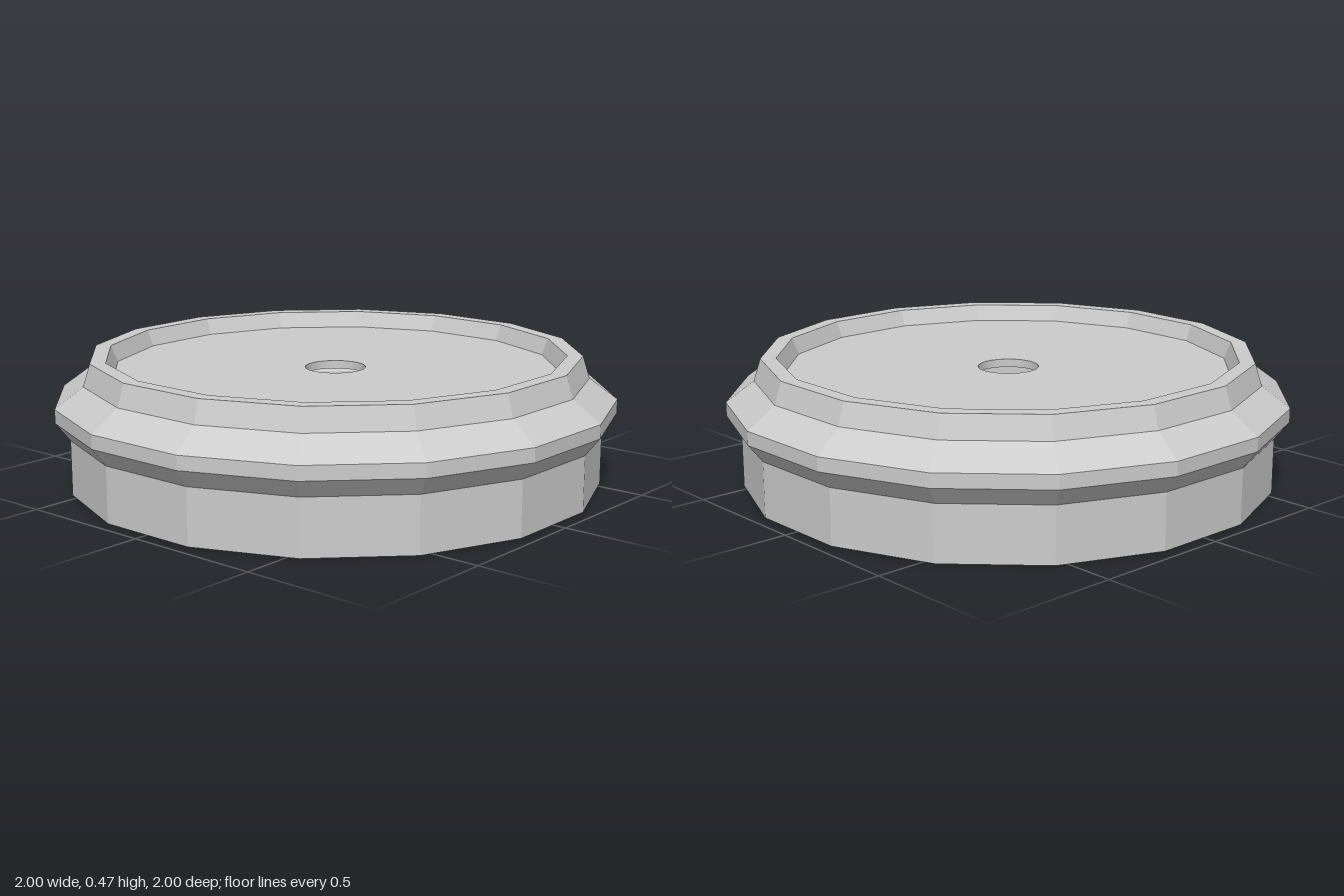
import * as THREE from 'three';

const SIDES = 16;
const STEP = (Math.PI * 2) / SIDES;
// profiles are measured to the flats; this converts to corner radius
const CORNER = 1 / Math.cos(STEP / 2);

export function createModel() {
  const group = new THREE.Group();
  group.name = 'steppedLid';
  const grey = new THREE.MeshStandardMaterial({ color: 0xcccccc, flatShading: true });
  grey.name = 'light grey';

  // Faceted hollow ring: outside going up, inside coming back down
  const profile = [
    [0.90, 0], [0.95, 0], [0.95, 0.2], [1.0, 0.265], [1.0, 0.315],
    [0.90, 0.39], [0.875, 0.47], [0.82, 0.47], [0.77, 0.345],
    [0.94, 0.275], [0.94, 0.26], [0.90, 0.2], [0.90, 0],
  ].map(([r, y]) => new THREE.Vector2(r * CORNER, y));
  const ringGeometry = new THREE.LatheGeometry(profile, SIDES, STEP / 2).toNonIndexed();
  ringGeometry.computeVertexNormals();
  const ring = new THREE.Mesh(ringGeometry, grey);
  ring.name = 'outerRing';
  group.add(ring);

  // Recessed plate with a round centre hole
  const outline = [];
  for (let i = 0; i < SIDES; i++) {
    const a = (i + 0.5) * STEP;
    outline.push(new THREE.Vector2(Math.cos(a), Math.sin(a)).multiplyScalar(0.81 * CORNER));
  }
  const shape = new THREE.Shape(outline);
  const hole = new THREE.Path();
  hole.absarc(0, 0, 0.11, 0, Math.PI * 2, true);
  shape.holes.push(hole);
  const plateGeometry = new THREE.ExtrudeGeometry(shape, {
    depth: 0.03, bevelEnabled: false, curveSegments: 32,
  });
  plateGeometry.rotateX(-Math.PI / 2);
  plateGeometry.translate(0, 0.38, 0);
  const plate = new THREE.Mesh(plateGeometry, grey);
  plate.name = 'recessedPlate';
  group.add(plate);

  return group;
}
